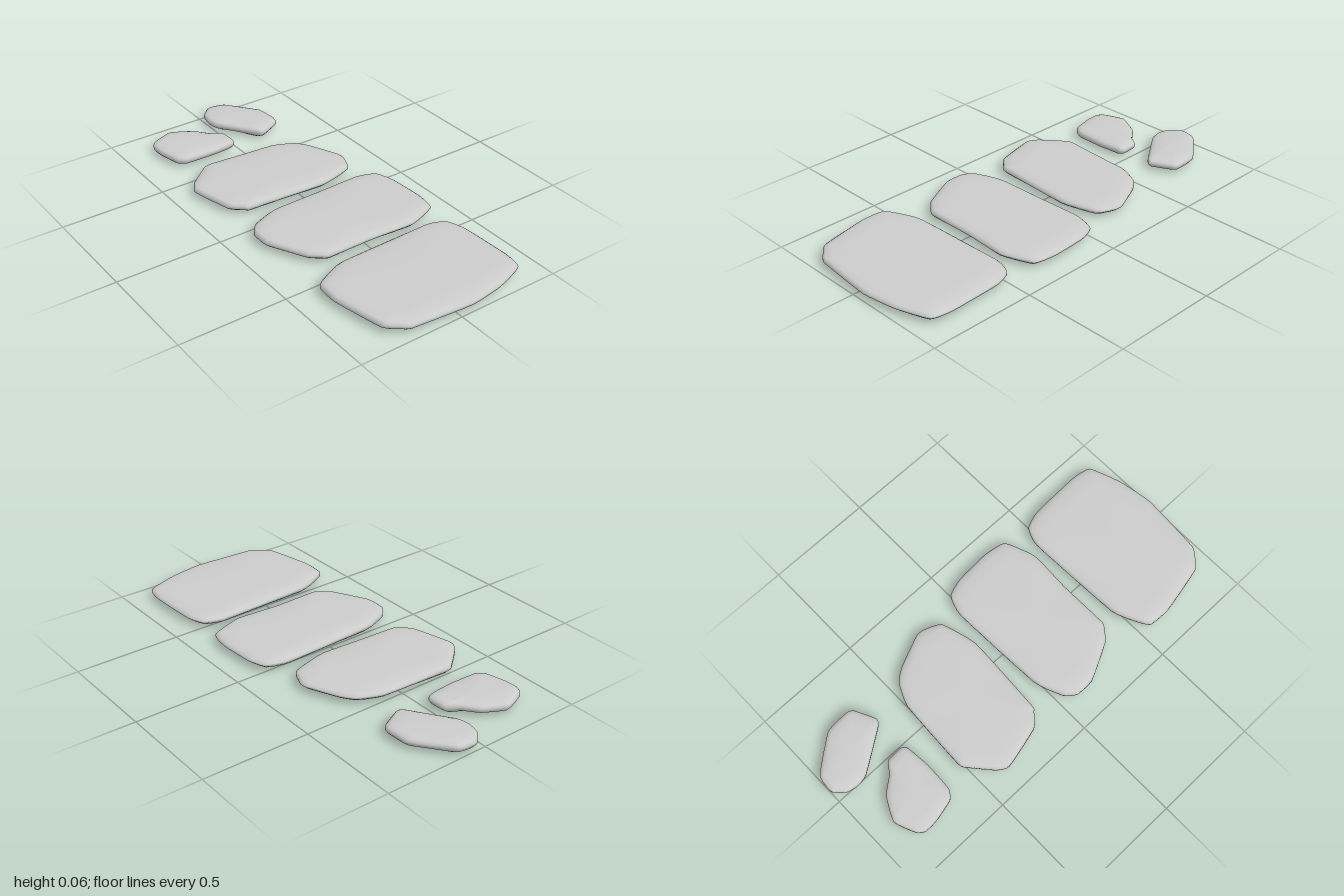
import * as THREE from 'three';

// Outlines as [x, z], running left, back, right, front
const outlines = {
  frontSlab: [[-.37, .555], [-.33, .525], [-.2, .472], [.27, .457], [.36, .49], [.39, .575], [.4, .82],
    [.38, .915], [.23, .97], [.06, .995], [-.23, .97], [-.27, .947], [-.325, .895], [-.375, .66]],
  middleSlab: [[-.375, .08], [-.335, .03], [-.2, -.02], [.26, -.037], [.36, -.005], [.39, .08], [.4, .25],
    [.38, .355], [.235, .41], [.03, .4], [-.21, .4], [-.24, .385], [-.29, .34], [-.375, .17]],
  backSlab: [[-.403, -.365], [-.375, -.42], [-.27, -.51], [-.23, -.52], [.105, -.503], [.215, -.455], [.26, -.395],
    [.323, -.25], [.323, -.21], [.285, -.13], [.11, -.082], [-.275, -.105], [-.3, -.117], [-.355, -.17]],
  smallStoneRight: [[-.362, -.82], [-.34, -.853], [-.238, -.893], [-.13, -.84], [-.07, -.767], [-.02, -.73],
    [-.016, -.65], [-.037, -.63], [-.155, -.618], [-.295, -.624], [-.335, -.655], [-.36, -.757]],
  smallStoneLeft: [[-.012, -.9], [0, -.952], [.042, -.996], [.075, -1], [.137, -.985], [.26, -.83],
    [.268, -.714], [.253, -.687], [.158, -.64], [.127, -.655], [0, -.84]],
};

// Edge profile from underside to top as [inset, height]
const profile = [[.12, .001], [.05, .007], [.015, .018], [0, .03], [0, .042], [.012, .051], [.04, .057], [.1, .061]];

function stoneGeometry(outline, insetScale) {
  // Slightly softened outline
  const curve = new THREE.CatmullRomCurve3(outline.map(([x, z]) => new THREE.Vector3(x, 0, z)), true, 'catmullrom', 0.2);
  const n = outline.length * 4;
  const ring = Array.from({ length: n }, (_, i) => curve.getPoint(i / n));
  const box = new THREE.Box3().setFromPoints(ring);
  const centre = box.getCenter(new THREE.Vector3());

  // Stacked rings, each pulled in toward the centre; the top leans a little
  const positions = [];
  for (const [inset, y] of profile) {
    for (const p of ring) {
      const d = p.clone().sub(centre);
      d.setLength(d.length() - inset * insetScale);
      const lean = y > .035 ? -.01 * d.x : 0;
      positions.push(centre.x + d.x, y + lean, centre.z + d.z);
    }
  }
  const bottom = positions.length / 3, top = bottom + 1;
  positions.push(centre.x, 0, centre.z, centre.x, .0635, centre.z);

  const index = [];
  const last = (profile.length - 1) * n;
  for (let i = 0; i < n; i++) {
    const j = (i + 1) % n;
    for (let r = 0; r < last; r += n) {
      index.push(r + j, r + i, r + n + i, r + j, r + n + i, r + n + j);
    }
    index.push(bottom, i, j, top, last + j, last + i);
  }
  const geometry = new THREE.BufferGeometry();
  geometry.setAttribute('position', new THREE.Float32BufferAttribute(positions, 3));
  geometry.setIndex(index);
  geometry.computeVertexNormals();
  return geometry;
}

export function createModel() {
  const group = new THREE.Group();
  group.name = 'steppingStonePath';
  const material = new THREE.MeshStandardMaterial({ color: 0xcccccc });
  for (const [name, outline] of Object.entries(outlines)) {
    const stone = new THREE.Mesh(stoneGeometry(outline, name.startsWith('small') ? 0.6 : 1), material);
    stone.name = name;
    group.add(stone);
  }
  return group;
}
